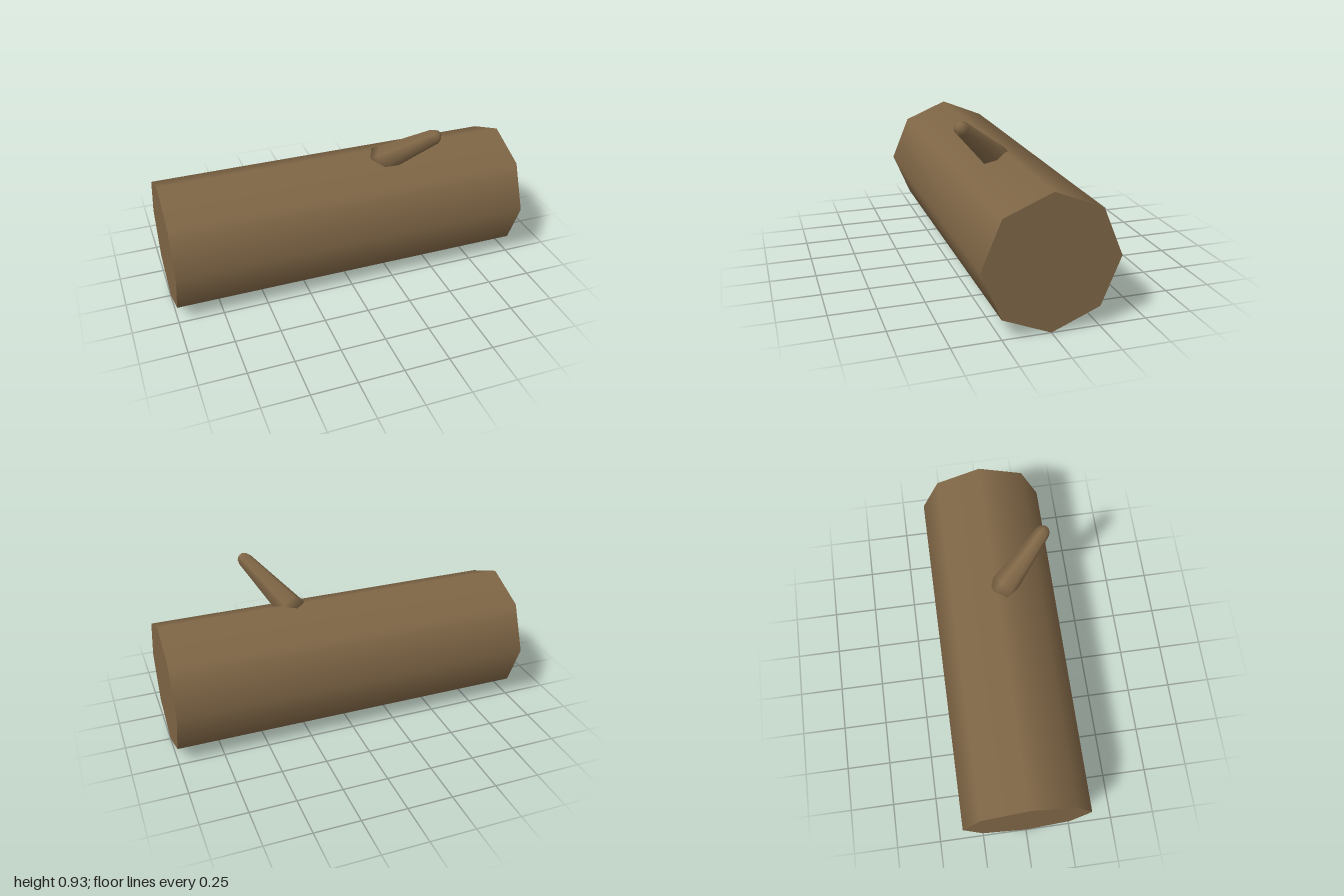
import * as THREE from 'three';

export function createModel() {
  const model = new THREE.Group();
  model.name = 'log';
  const bark = new THREE.MeshStandardMaterial({ color: 0x7f6646 });
  bark.name = 'brown bark';

  // Eight-sided trunk lying along x, with a corner at the top and bottom
  const R = 0.355;
  const trunk = new THREE.Mesh(new THREE.CylinderGeometry(R, R, 2, 8).rotateZ(-Math.PI / 2), bark);
  trunk.name = 'trunk';
  trunk.position.y = R;
  model.add(trunk);

  // Tapering six-sided branch stub with a rounded tip, rooted inside the trunk
  const base = new THREE.Vector3(0.27, 0.685, 0.06);
  const tip = new THREE.Vector3(0.445, 0.89, 0.28);
  const dir = tip.clone().sub(base);
  const length = dir.length();
  const profile = [
    [0, -0.06], [0.081, -0.06], [0.075, 0], [0.042, length],
    [0.032, length + 0.026], [0.016, length + 0.038], [0, length + 0.041],
  ].map(([r, y]) => new THREE.Vector2(r, y));
  const branch = new THREE.Mesh(new THREE.LatheGeometry(profile, 6), bark);
  branch.name = 'branch';
  branch.position.copy(base);
  branch.rotation.set(Math.atan2(Math.hypot(dir.x, dir.z), dir.y), Math.atan2(dir.x, dir.z), 0, 'YXZ');
  model.add(branch);

  return model;
}
